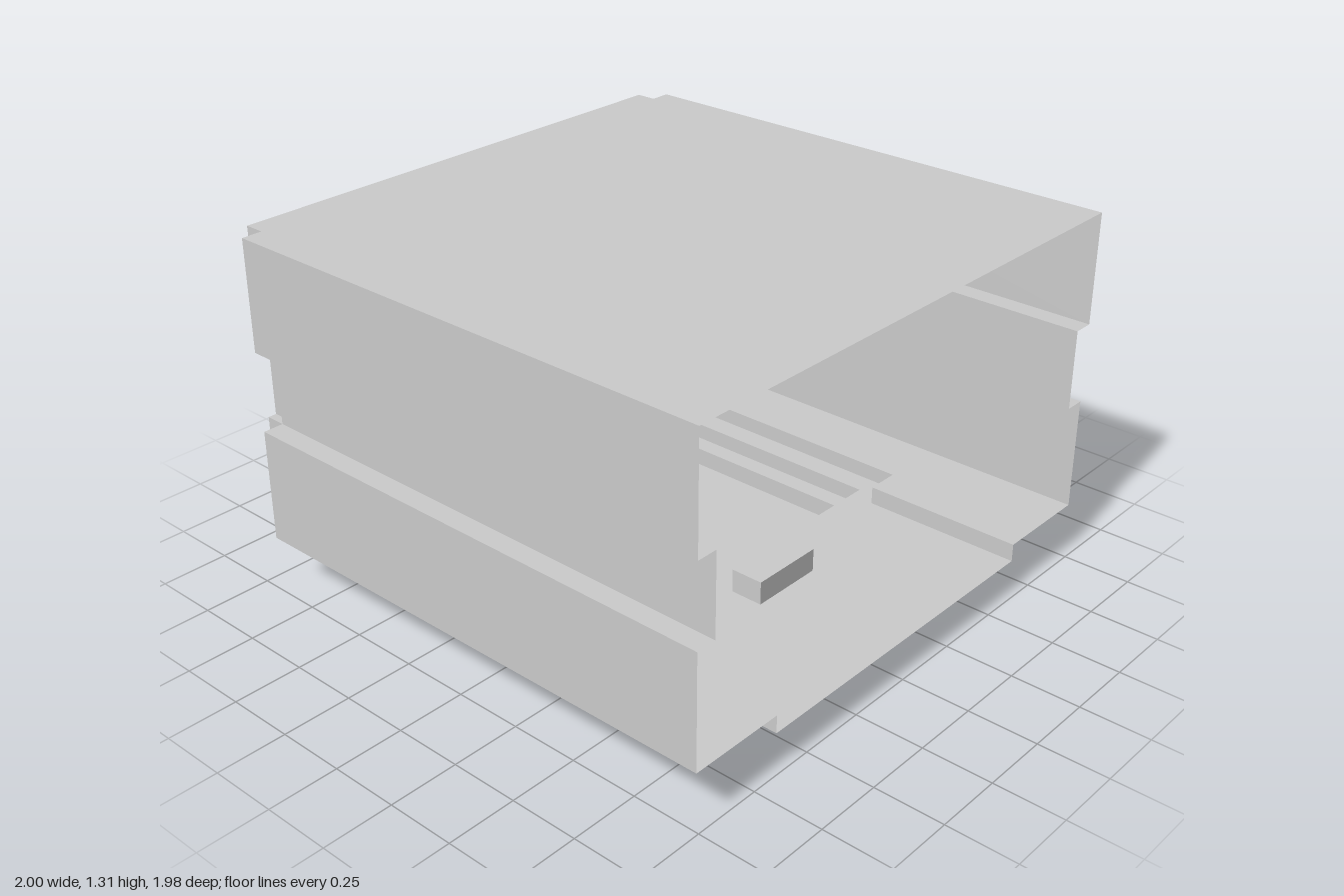
import * as THREE from 'three';

const sheetMat = new THREE.MeshStandardMaterial({ color: 0xcccccc, flatShading: true, side: THREE.DoubleSide });
const solidMat = new THREE.MeshStandardMaterial({ color: 0xcccccc, flatShading: true });

const toVectors = (pts) => pts.map(([x, y]) => new THREE.Vector2(x, y));

function add(parent, name, geometry, material = sheetMat) {
  const mesh = new THREE.Mesh(geometry, material);
  mesh.name = name;
  parent.add(mesh);
  return mesh;
}

// Flat horizontal sheet from an [x, z] outline, with an optional hole
function sheet(parent, name, outline, y, hole) {
  const shape = new THREE.Shape(toVectors(outline));
  if (hole) shape.holes.push(new THREE.Path(toVectors(hole)));
  const geometry = new THREE.ShapeGeometry(shape).rotateX(Math.PI / 2).translate(0, y, 0);
  return add(parent, name, geometry);
}

// Thin vertical wall following an [x, z] path
function wall(parent, name, path, y0, y1, closed = false) {
  const positions = [];
  const count = closed ? path.length : path.length - 1;
  for (let i = 0; i < count; i++) {
    const [ax, az] = path[i];
    const [bx, bz] = path[(i + 1) % path.length];
    positions.push(ax, y0, az, bx, y0, bz, bx, y1, bz, ax, y0, az, bx, y1, bz, ax, y1, az);
  }
  const geometry = new THREE.BufferGeometry();
  geometry.setAttribute('position', new THREE.Float32BufferAttribute(positions, 3));
  geometry.computeVertexNormals();
  return add(parent, name, geometry);
}

function box(parent, name, x0, x1, y0, y1, z0, z1) {
  const geometry = new THREE.BoxGeometry(x1 - x0, y1 - y0, z1 - z0);
  geometry.translate((x0 + x1) / 2, (y0 + y1) / 2, (z0 + z1) / 2);
  return add(parent, name, geometry, solidMat);
}

const FRONT = 0.99, STEP = -0.915, BACK = -0.99, INNER = 0.925;

// Footprint with notched back corners, open at the front
const footprint = [
  [1, FRONT], [1, STEP], [INNER, STEP], [INNER, BACK],
  [-INNER, BACK], [-INNER, STEP], [-1, STEP], [-1, FRONT],
];

// Edge of the sunken area, running out to the front as a channel
const sunkenEdge = (x, back) => [
  [-0.64, FRONT], [-0.64, 0.4], [-x, 0.4], [-x, back],
  [x, back], [x, 0.4], [0.64, 0.4], [0.64, FRONT],
];

// Pit outline with a narrow passage through the steps at the back
const pitOutline = (x, front, back, passageX, passageBack) => [
  [x, front], [x, back], [passageX, back], [passageX, passageBack],
  [-passageX, passageBack], [-passageX, back], [-x, back], [-x, front],
];

function buildShell(group) {
  sheet(group, 'roof', footprint, 1.31);
  wall(group, 'upperWalls', footprint, 0.91, 1.31);
  wall(group, 'lowerWalls', footprint, 0.21, 0.62);
  // Ledges above and below the recessed band
  const ledge = [...footprint, [-INNER, FRONT], [-INNER, STEP], [INNER, STEP], [INNER, FRONT]];
  for (const [name, y] of [['lowerLedge', 0.62], ['upperLedge', 0.91]]) {
    for (const s of [-1, 1]) {
      sheet(group, name + 'Side', [[s, FRONT], [s, STEP], [s * INNER, STEP], [s * INNER, FRONT]], y);
    }
    sheet(group, name + 'Back', [[INNER, STEP], [INNER, BACK], [-INNER, BACK], [-INNER, STEP]], y);
  }
  for (const s of [-1, 1]) {
    wall(group, 'recessedSideWall', [[s * INNER, FRONT], [s * INNER, STEP]], 0.62, 0.91);
  }
}

function buildFloor(group) {
  const lip = sunkenEdge(0.765, -0.65);
  const edge = sunkenEdge(0.775, -0.66);
  // Main floor around the sunken area
  sheet(group, 'mainFloor', [...footprint, ...lip], 0.21);
  wall(group, 'sunkenLip', lip, 0.205, 0.21);
  wall(group, 'sunkenWalls', edge, 0.145, 0.205);
  sheet(group, 'lipUnderside', [...edge.slice(2, 6), ...lip.slice(2, 6).reverse()], 0.205);

  // Two further steps, each with a small overhanging lip
  const lip2 = pitOutline(0.69, 0.31, -0.58, 0.134, -0.652);
  const edge2 = pitOutline(0.705, 0.32, -0.595, 0.14, -0.657);
  const lip3 = pitOutline(0.635, 0.25, -0.515, 0.134, -0.652);
  const edge3 = pitOutline(0.645, 0.26, -0.525, 0.14, -0.657);
  sheet(group, 'sunkenFloor', edge, 0.145, lip2);
  wall(group, 'middleLip', lip2, 0.135, 0.145, true);
  sheet(group, 'middleLipUnderside', edge2, 0.135, lip2);
  wall(group, 'middleStepWalls', edge2, 0.075, 0.135, true);
  sheet(group, 'middleStep', edge2, 0.075, lip3);
  wall(group, 'lowerLip', lip3, 0.065, 0.075, true);
  sheet(group, 'lowerLipUnderside', edge3, 0.065, lip3);
  wall(group, 'lowerStepWalls', edge3, 0, 0.065, true);
  sheet(group, 'pitFloor', edge3, 0);

  // Low blocks standing in the sunken area
  box(group, 'frontBlock', -0.14, 0.14, 0.145, 0.23, 0.4, 0.52);
  box(group, 'pitBlock', -0.46, -0.18, 0, 0.055, -0.16, -0.04);
}

function buildBackPanel(group) {
  // Bent lines, from the top down, dividing the panel into layers
  const E = 0.905;
  const lines = [
    [[-E, 0.9], [E, 0.9]],
    [[-E, 0.88], [0.53, 0.88], [0.68, 0.83], [0.75, 0.83], [E, 0.88]],
    [[-E, 0.86], [-0.76, 0.86], [-0.61, 0.82], [0.53, 0.82], [0.68, 0.775], [0.75, 0.775], [E, 0.82]],
    [[-E, 0.76], [-0.59, 0.76], [-0.44, 0.718], [0.75, 0.718], [E, 0.76]],
    [[-E, 0.71], [-0.64, 0.71], [-0.51, 0.675], [0.75, 0.675], [E, 0.715]],
    [[-E, 0.63], [E, 0.63]],
  ];
  const fronts = [-0.935, -0.915, -0.93, -0.915, -0.925];
  const backing = -0.965;
  fronts.forEach((front, i) => {
    const shape = new THREE.Shape(toVectors([...lines[i + 1], ...[...lines[i]].reverse()]));
    const geometry = new THREE.ExtrudeGeometry(shape, { depth: front - backing, bevelEnabled: false });
    add(group, 'bentLayer', geometry.translate(0, 0, backing), solidMat);
  });
  box(group, 'panelBacking', -E, E, 0.63, 0.9, -0.975, backing);
}

export function createModel() {
  const model = new THREE.Group();
  model.name = 'openRoom';
  for (const [name, build] of [['shell', buildShell], ['steppedFloor', buildFloor], ['backPanel', buildBackPanel]]) {
    const group = new THREE.Group();
    group.name = name;
    build(group);
    model.add(group);
  }
  return model;
}
